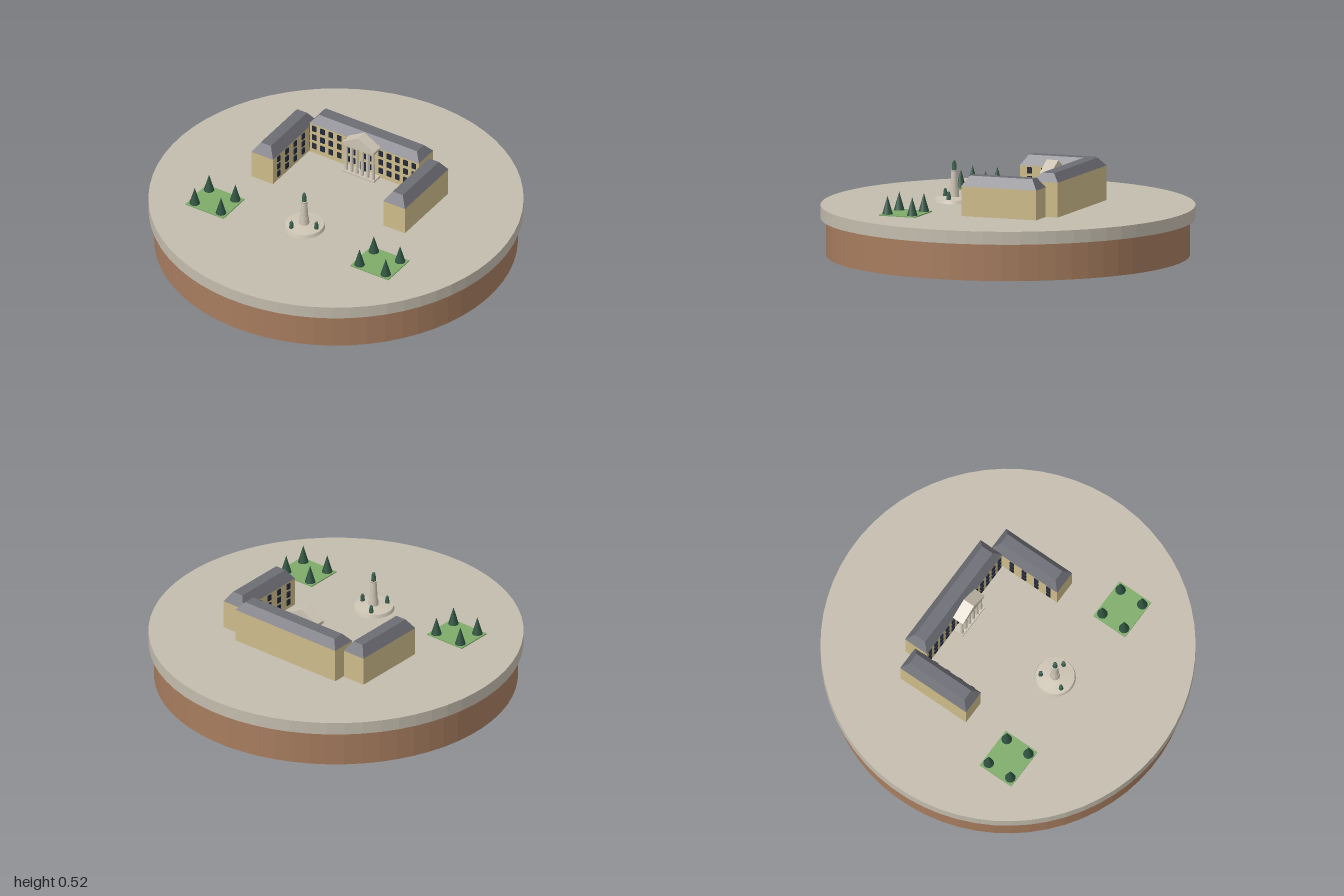
import * as THREE from 'three';

const mat = (name, color, flatShading = false) => {
  const m = new THREE.MeshStandardMaterial({ color, flatShading });
  m.name = name;
  return m;
};

export function createModel() {
  const earth = mat('earth', 0xa67c5e, true);
  const paving = mat('paving', 0xc3bcad, true);
  const wall = mat('sandstone wall', 0xcdbb8a);
  const slate = mat('slate roof', 0x6c6c74, true);
  const glass = mat('dark glass', 0x23293b);
  const stone = mat('pale stone', 0xcdc4b4);
  const grass = mat('grass', 0x7fab69);
  const leaf = mat('conifer green', 0x2f5340);
  const bronze = mat('green bronze', 0x3c6150);

  const model = new THREE.Group();
  const GROUND = 0.27;

  const add = (parent, name, geometry, material, x = 0, y = 0, z = 0) => {
    const mesh = new THREE.Mesh(geometry, material);
    mesh.name = name;
    mesh.position.set(x, y, z);
    parent.add(mesh);
    return mesh;
  };
  const group = (parent, name, x = 0, y = 0, z = 0) => {
    const g = new THREE.Group();
    g.name = name;
    g.position.set(x, y, z);
    parent.add(g);
    return g;
  };
  const box = (w, h, d) => new THREE.BoxGeometry(w, h, d);
  const cyl = (top, bottom, h, sides = 16) => new THREE.CylinderGeometry(top, bottom, h, sides);

  // Round plinth
  add(model, 'plinth', cyl(0.97, 0.97, 0.2, 64), earth, 0, 0.1, 0);
  add(model, 'plaza', cyl(1, 1, 0.07, 64), paving, 0, 0.235, 0);

  // Everything on the plaza shares one turned frame
  const site = group(model, 'site', 0.046, GROUND, -0.134);
  site.rotation.y = -THREE.MathUtils.degToRad(20);

  // Hipped roof with a flat top: a box whose upper corners move inward
  const hipRoof = (w, h, d, inset) => {
    const g = box(w, h, d);
    const p = g.attributes.position;
    for (let i = 0; i < p.count; i++) {
      if (p.getY(i) > 0) {
        p.setX(i, p.getX(i) - Math.sign(p.getX(i)) * inset);
        p.setZ(i, p.getZ(i) - Math.sign(p.getZ(i)) * inset);
      }
    }
    g.computeVertexNormals();
    return g;
  };

  // A block has its long side on x and its windows on +z
  const block = (name, length, depth, wallH, roofH, columns, spacing, rows) => {
    const b = group(site, name);
    add(b, 'walls', box(length, wallH, depth), wall, 0, wallH / 2, 0);
    add(b, 'roof', hipRoof(length + 0.002, roofH, depth + 0.002, 0.037), slate, 0, wallH + roofH / 2, 0);
    const pane = box(0.026, 0.033, 0.008);
    for (const y of rows) {
      for (let i = 0; i < columns; i++) {
        add(b, 'window', pane, glass, (i - (columns - 1) / 2) * spacing, y, depth / 2 + 0.002);
      }
    }
    return b;
  };

  const mainBlock = block('mainBlock', 0.69, 0.14, 0.187, 0.045, 13, 0.0525, [0.048, 0.104, 0.16]);
  mainBlock.position.z = -0.213;
  for (const side of [-1, 1]) {
    const wing = block(side < 0 ? 'rightWing' : 'leftWing', 0.43, 0.135, 0.16, 0.055, 5, 0.08, [0.04, 0.088, 0.136]);
    wing.position.x = side * 0.417;
    wing.rotation.y = -side * Math.PI / 2;
  }

  // Portico with columns, door and pediment
  const portico = group(site, 'portico', 0, 0, -0.113);
  add(portico, 'step', box(0.2, 0.012, 0.065), stone, 0, 0.006, 0);
  add(portico, 'door', box(0.04, 0.055, 0.009), glass, 0, 0.038, -0.024);
  for (let i = 0; i < 6; i++) {
    add(portico, 'column', cyl(0.008, 0.0095, 0.168, 12), stone, (i - 2.5) * 0.034, 0.096, 0.016);
  }
  add(portico, 'entablature', box(0.194, 0.02, 0.062), stone, 0, 0.188, 0);
  const gable = new THREE.Shape([
    new THREE.Vector2(-0.1, 0), new THREE.Vector2(0.1, 0), new THREE.Vector2(0, 0.058),
  ]);
  const pediment = new THREE.ExtrudeGeometry(gable, { depth: 0.066, bevelEnabled: false });
  add(portico, 'pediment', pediment, stone, 0, 0.197, -0.033);

  // Monument: round basin, tapered pillar, tall figure and three lesser figures
  const monument = group(site, 'monument', 0, 0, 0.452);
  add(monument, 'basin', cyl(0.105, 0.111, 0.018, 32), stone, 0, 0.009, 0);
  add(monument, 'basinTop', cyl(0.03, 0.1, 0.008, 32), stone, 0, 0.022, 0);
  add(monument, 'pedestal', cyl(0.024, 0.028, 0.05, 12), stone, 0, 0.045, 0);
  add(monument, 'pillar', cyl(0.016, 0.022, 0.1, 12), stone, 0, 0.115, 0);
  add(monument, 'pillarCap', cyl(0.02, 0.018, 0.008, 12), stone, 0, 0.167, 0);

  const figure = (name, height, radius, x, y, z) => {
    const f = group(monument, name, x, y, z);
    add(f, 'body', cyl(radius * 0.75, radius, height * 0.75, 10), bronze, 0, height * 0.375, 0);
    add(f, 'head', new THREE.SphereGeometry(height * 0.14, 10, 8), bronze, 0, height * 0.86, 0);
  };
  figure('tallFigure', 0.053, 0.014, 0, 0.17, 0);
  for (let i = 0; i < 3; i++) {
    const a = i * Math.PI * 2 / 3;
    figure('smallFigure', 0.046, 0.013, 0.077 * Math.cos(a), 0.018, 0.077 * Math.sin(a));
  }

  // Two lawns with four conifers each
  for (const side of [-1, 1]) {
    const lawn = group(site, 'garden', side * 0.521, 0, 0.52);
    add(lawn, 'lawn', box(0.24, 0.006, 0.208), grass, 0, 0.003, 0);
    for (const sx of [-1, 1]) {
      for (const sz of [-1, 1]) {
        add(lawn, 'conifer', new THREE.ConeGeometry(0.029, 0.1, 12), leaf, sx * 0.083, 0.055, sz * 0.071);
      }
    }
  }

  return model;
}
